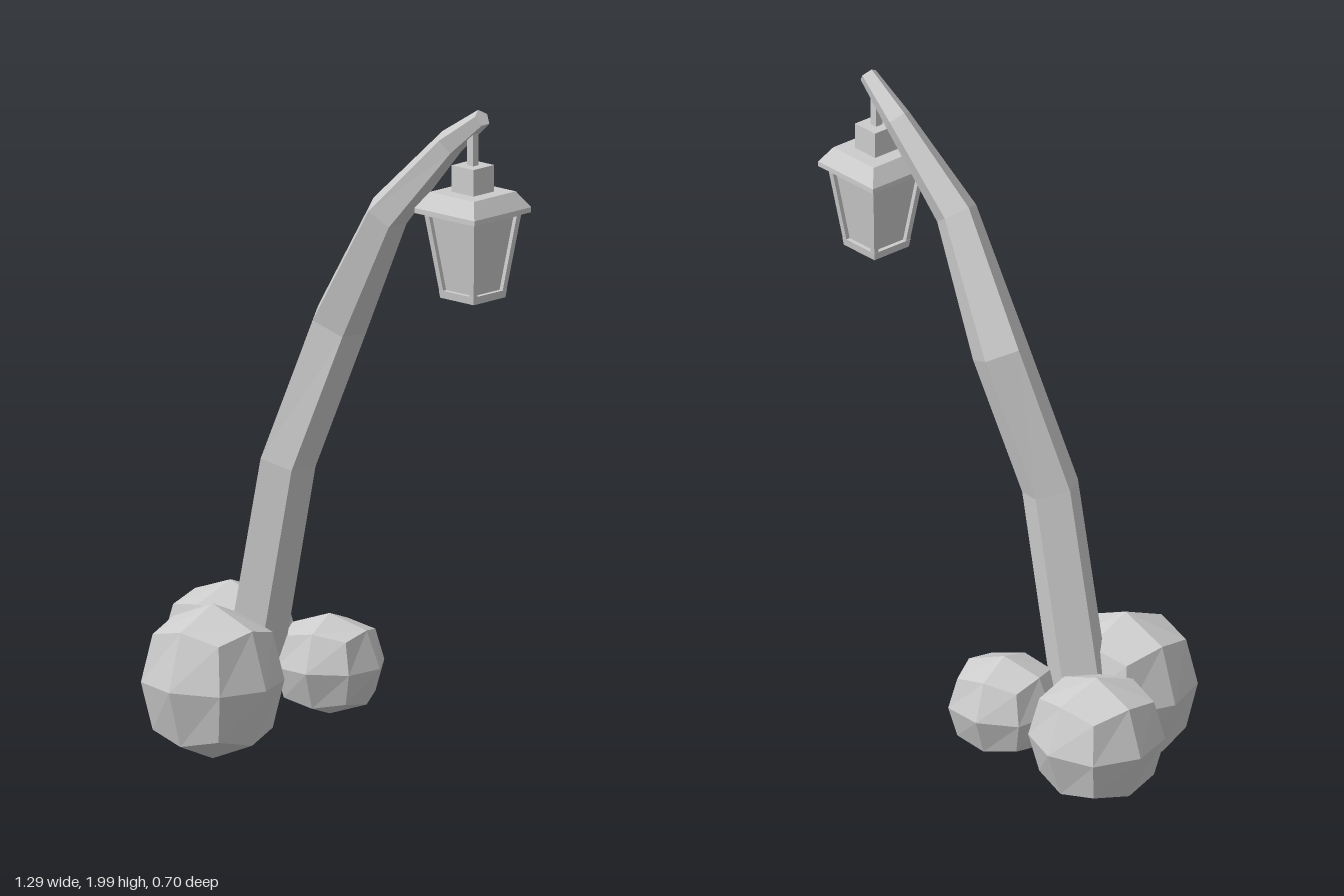
import * as THREE from 'three';

const stone = new THREE.MeshStandardMaterial({ color: 0xcccccc, flatShading: true });
stone.name = 'pale grey';

function add(parent, name, geometry, x = 0, y = 0, z = 0) {
  const mesh = new THREE.Mesh(geometry, stone);
  mesh.name = name;
  mesh.position.set(x, y, z);
  parent.add(mesh);
  return mesh;
}

// Closed skin through rings of points, each counter-clockwise seen from the last ring's end
function loft(rings) {
  const n = rings[0].length;
  const last = (rings.length - 1) * n;
  const index = [];
  for (let k = 0; k < rings.length - 1; k++) {
    for (let i = 0; i < n; i++) {
      const a = k * n + i, b = k * n + (i + 1) % n;
      index.push(a, b, b + n, a, b + n, a + n);
    }
  }
  for (let i = 1; i < n - 1; i++) {
    index.push(0, i + 1, i, last, last + i, last + i + 1);
  }
  const geometry = new THREE.BufferGeometry().setFromPoints(rings.flat());
  geometry.setIndex(index);
  geometry.computeVertexNormals();
  return geometry;
}

// Horizontal square ring
function square(half, y, cx = 0, cz = 0) {
  return [[-1, 1], [1, 1], [1, -1], [-1, -1]].map(
    ([sx, sz]) => new THREE.Vector3(cx + sx * half, y, cz + sz * half));
}

// Five-sided rings set across a bent path of [x, y, z, radius]
function poleRings(path) {
  const points = path.map(([x, y, z]) => new THREE.Vector3(x, y, z));
  return path.map(([, , , radius], i) => {
    const before = points[Math.max(i - 1, 0)];
    const after = points[Math.min(i + 1, points.length - 1)];
    const t = after.clone().sub(before).normalize();
    const u = new THREE.Vector3(t.y, -t.x, 0).normalize();
    const v = t.clone().cross(u);
    return Array.from({ length: 5 }, (_, k) => {
      const a = (k + 0.5) * Math.PI * 2 / 5;
      return points[i].clone()
        .addScaledVector(u, radius * Math.cos(a))
        .addScaledVector(v, radius * Math.sin(a));
    });
  });
}

// Boulder: a divided cube pulled most of the way to a ball
function boulder(rx, ry, rz) {
  const geometry = new THREE.BoxGeometry(2, 2, 2, 2, 2, 2);
  const p = geometry.attributes.position;
  const v = new THREE.Vector3();
  for (let i = 0; i < p.count; i++) {
    v.fromBufferAttribute(p, i);
    v.multiplyScalar(Math.pow(v.length(), -0.88));
    p.setXYZ(i, v.x * rx, v.y * ry, v.z * rz);
  }
  geometry.computeVertexNormals();
  return geometry;
}

function createLantern() {
  const lantern = new THREE.Group();
  lantern.name = 'lantern';
  add(lantern, 'hangingRod', new THREE.BoxGeometry(0.024, 0.14, 0.024), 0, 1.89, 0);
  add(lantern, 'lanternCap', new THREE.BoxGeometry(0.086, 0.08, 0.086), 0, 1.79, 0);
  add(lantern, 'lanternRoof', loft([square(0.118, 1.69), square(0.118, 1.705), square(0.087, 1.752)]));
  add(lantern, 'lanternPanes', loft([square(0.054, 1.45), square(0.087, 1.695)]));
  add(lantern, 'bottomRail', loft([square(0.066, 1.44), square(0.069, 1.463)]));
  add(lantern, 'topRail', loft([square(0.098, 1.682), square(0.099, 1.692)]));
  // Slanting corner posts
  for (const sx of [-1, 1]) {
    for (const sz of [-1, 1]) {
      add(lantern, 'cornerPost', loft([
        square(0.008, 1.445, sx * 0.058, sz * 0.058),
        square(0.009, 1.692, sx * 0.09, sz * 0.09),
      ]));
    }
  }
  return lantern;
}

export function createModel() {
  const model = new THREE.Group();
  model.name = 'bentLampPost';

  // Crooked tapering pole
  add(model, 'pole', loft(poleRings([
    [-0.29, 0.1, -0.035, 0.088],
    [-0.117, 0.873, -0.03, 0.086],
    [0.015, 1.285, -0.105, 0.086],
    [0.225, 1.645, -0.087, 0.064],
    [0.435, 1.88, -0.127, 0.042],
    [0.563, 1.975, -0.127, 0.027],
  ])));

  // Boulders around the foot
  add(model, 'frontBoulder', boulder(0.2, 0.228, 0.195), -0.235, 0.232, 0.152)
    .rotation.y = 0.06;
  add(model, 'rightBoulder', boulder(0.19, 0.188, 0.187), -0.458, 0.25, -0.157);
  add(model, 'backBoulder', boulder(0.16, 0.148, 0.155), -0.11, 0.242, -0.202)
    .rotation.y = 0.3;

  const lantern = createLantern();
  lantern.position.set(0.525, 0, -0.128);
  model.add(lantern);
  return model;
}
